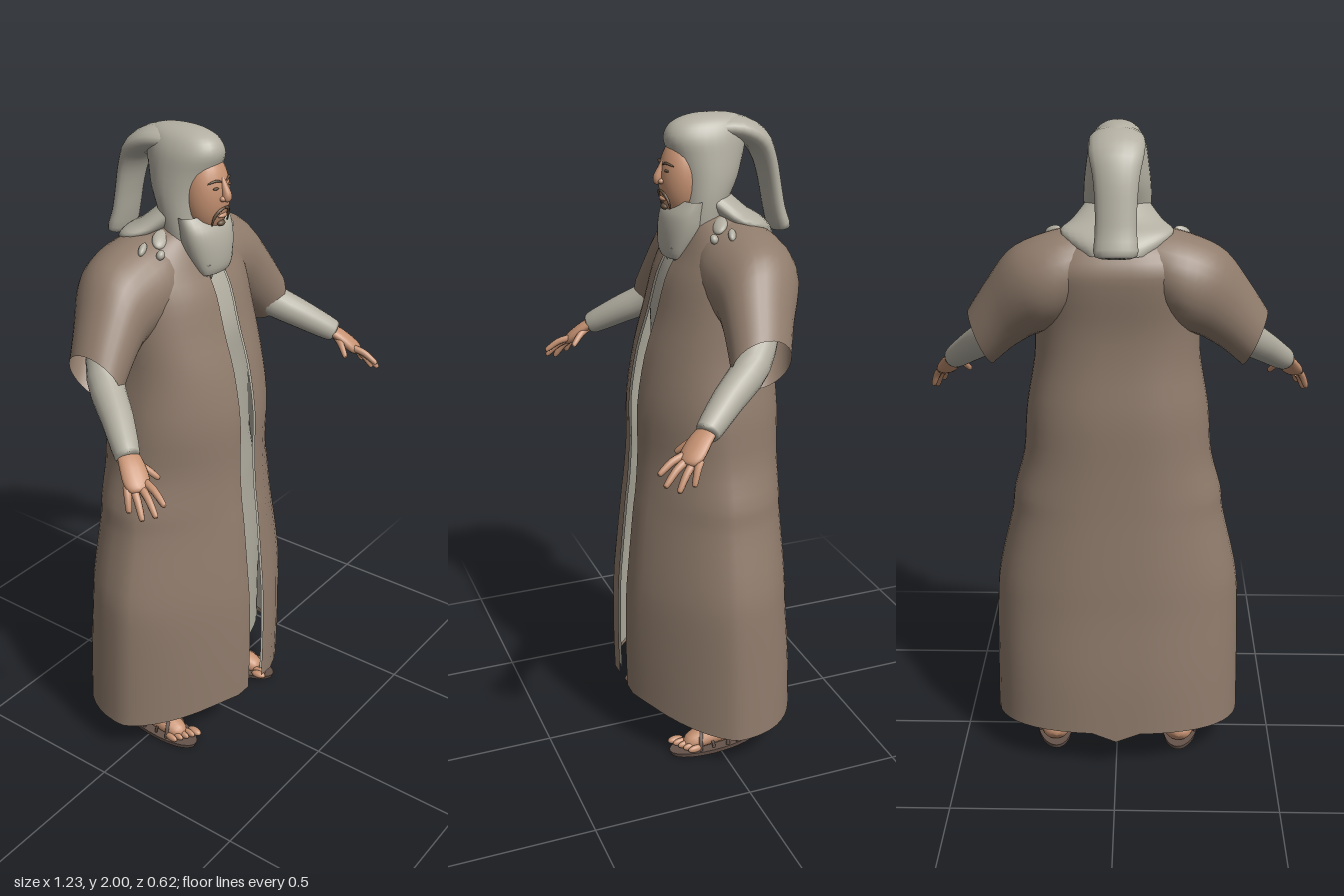
import * as THREE from 'three';

const paint = (name, color) => {
  const m = new THREE.MeshStandardMaterial({ color, side: THREE.DoubleSide });
  m.name = name;
  return m;
};
const V = (x, y, z) => new THREE.Vector3(x, y, z);

// Skin a list of rings (arrays of Vector3) into one smooth surface.
function loft(rings, closed = true) {
  const n = rings[0].length, pos = [], idx = [];
  rings.forEach(r => r.forEach(p => pos.push(p.x, p.y, p.z)));
  for (let i = 0; i < rings.length - 1; i++) {
    for (let j = 0; j < (closed ? n : n - 1); j++) {
      const a = i * n + j, b = i * n + (j + 1) % n;
      idx.push(a, b, b + n, a, b + n, a + n);
    }
  }
  const g = new THREE.BufferGeometry();
  g.setAttribute('position', new THREE.Float32BufferAttribute(pos, 3));
  g.setIndex(idx);
  g.computeVertexNormals();
  return g;
}

// Catmull-Rom interpolation of table rows.
function smooth(rows, steps) {
  const out = [], at = i => rows[Math.min(Math.max(i, 0), rows.length - 1)];
  for (let i = 0; i < rows.length - 1; i++) {
    for (let k = 0; k < steps; k++) {
      const t = k / steps;
      out.push(rows[i].map((_, c) => {
        const [a, b, d, e] = [at(i - 1)[c], at(i)[c], at(i + 1)[c], at(i + 2)[c]];
        return b + 0.5 * t * (d - a + t * (2 * a - 5 * b + 4 * d - e + t * (3 * (b - d) + e - a)));
      }));
    }
  }
  out.push(rows[rows.length - 1]);
  return out;
}

// Upright shell from rows [y, half width, front z, back z].
// gap leaves the front open; skirt adds the raised hem and the flat, bevelled front panels.
function shell(rows, { gap = 0, seg = 48, skirt = 0, back = 0.8 } = {}) {
  const rings = smooth(rows, 3).map(([y, w, zf, zb]) => {
    const t0 = gap ? Math.asin(Math.min(gap / w, 0.9)) : 0, zc = (zf + zb) / 2, ring = [];
    const low = skirt * Math.max(0, (0.5 - y) / 0.4);
    const bevel = skirt * THREE.MathUtils.smoothstep(1.45 - y, 0, 0.7);
    for (let j = 0; j < (gap ? seg + 1 : seg); j++) {
      const t = t0 + (2 * Math.PI - 2 * t0) * j / seg, s = Math.sin(t), c = Math.cos(t);
      const e = c > 0 ? 0.92 + 0.43 * bevel : back;
      const reach = c > 0 ? Math.min(1, (1 + 0.1 * bevel) * c ** e) : -(Math.abs(c) ** e);
      const lift = c > 0 ? 0.055 * Math.min(1, 2 * (1 - Math.abs(s))) : -0.015 * c;
      const spike = j === seg / 2 ? 0.03 : 0;
      const sx = j === 0 && gap ? gap : j === seg && gap ? -gap : w * Math.sign(s) * Math.abs(s) ** e;
      ring.push(V(sx, y + low * (lift - spike), zc + (zf - zc) * reach));
    }
    return ring;
  });
  return loft(rings, !gap);
}

// Rounded limb through points [x, y, z, radius], optionally flattened.
function limb(points, { seg = 14, wide = 1, thick = 1, ref = V(0, 1, 0) } = {}) {
  const pts = smooth(points, 3);
  const rings = pts.map((p, i) => {
    const a = pts[Math.max(i - 1, 0)], b = pts[Math.min(i + 1, pts.length - 1)];
    const d = V(b[0] - a[0], b[1] - a[1], b[2] - a[2]).normalize();
    const s = ref.clone().cross(d).normalize(), v = d.clone().cross(s), r = Math.max(p[3], 0.0005);
    return Array.from({ length: seg }, (_, j) => {
      const t = j / seg * Math.PI * 2;
      return V(p[0], p[1], p[2]).addScaledVector(s, r * wide * Math.cos(t)).addScaledVector(v, r * thick * Math.sin(t));
    });
  });
  return loft(rings);
}

export function createModel() {
  const brown = paint('robe brown', 0x907c6c), grey = paint('linen grey', 0xb2aea1);
  const skin = paint('skin', 0xc69272), dark = paint('dark hair', 0x66523f), leather = paint('sandal leather', 0x65534a);
  const model = new THREE.Group();
  model.name = 'robedMan';
  const add = (parent, name, geo, mat, x = 0, y = 0, z = 0) => {
    const m = new THREE.Mesh(geo, mat);
    m.name = name;
    m.position.set(x, y, z);
    parent.add(m);
    return m;
  };
  const ball = (parent, name, mat, x, y, z, sx, sy, sz) => {
    const m = add(parent, name, new THREE.SphereGeometry(1, 24, 16), mat, x, y, z);
    m.scale.set(sx, sy, sz);
    return m;
  };

  // Long open robe, its lining and the tunic underneath
  const robe = [
    [0.115, 0.392, 0.24, -0.28], [0.3, 0.39, 0.242, -0.275], [0.5, 0.386, 0.238, -0.26],
    [0.62, 0.374, 0.228, -0.255], [0.8, 0.332, 0.21, -0.245], [0.88, 0.322, 0.2, -0.242],
    [1.0, 0.29, 0.192, -0.24], [1.15, 0.278, 0.19, -0.24], [1.3, 0.252, 0.165, -0.228],
    [1.42, 0.246, 0.13, -0.23], [1.53, 0.244, 0.1, -0.248], [1.6, 0.238, 0.066, -0.25],
    [1.66, 0.19, 0.04, -0.215], [1.7, 0.13, 0.02, -0.17], [1.72, 0.08, 0, -0.13]];
  add(model, 'robe', shell(robe, { gap: 0.037, skirt: 1 }), brown);
  const inset = (d, lift, zMax) => robe.slice(0, 13).map(([y, w, f, b], i) =>
    [i ? y : y + lift, w - d, Math.min(f - d, zMax), b + d]);
  add(model, 'robeLining', shell(inset(0.008, 0.025, 1), { gap: 0.038, skirt: 1 }), grey);
  add(model, 'tunic', shell(inset(0.022, 0.065, 0.108)), grey);

  for (const side of [1, -1]) {
    const half = new THREE.Group();
    half.name = side > 0 ? 'leftLimbs' : 'rightLimbs';
    half.scale.x = side;
    model.add(half);

    // Shoulder and short wide sleeve: [top x, top y, bottom x, bottom y, z centre, half depth]
    const sleeve = smooth([
      [0.03, 1.715, 0.03, 1.52, -0.09, 0.1], [0.14, 1.702, 0.15, 1.43, -0.1, 0.14],
      [0.24, 1.675, 0.2, 1.4, -0.105, 0.138], [0.32, 1.63, 0.25, 1.38, -0.095, 0.122],
      [0.39, 1.535, 0.315, 1.335, -0.07, 0.102], [0.448, 1.445, 0.375, 1.28, -0.05, 0.09]], 3);
    add(half, 'sleeve', loft(sleeve.map(([tx, ty, bx, by, zc, hz]) => Array.from({ length: 28 }, (_, j) => {
      const t = j / 28 * Math.PI * 2, c = Math.cos(t) / 2;
      return V((tx + bx) / 2 + (tx - bx) * c, (ty + by) / 2 + (ty - by) * c, zc + hz * Math.sin(t));
    }))), brown);
    add(half, 'forearmSleeve', limb([[0.3, 1.46, -0.1, 0.055], [0.39, 1.36, -0.03, 0.053],
      [0.46, 1.295, 0.07, 0.046], [0.523, 1.238, 0.155, 0.036], [0.524, 1.237, 0.157, 0.025]], { seg: 20 }), grey);

    // Hand with spread fingers
    add(half, 'palm', limb([[0.515, 1.245, 0.145, 0.024], [0.535, 1.222, 0.18, 0.03],
      [0.556, 1.188, 0.215, 0.032], [0.566, 1.172, 0.235, 0.02], [0.568, 1.17, 0.238, 0]], { wide: 1.2, thick: 0.6 }), skin);
    [[0.54, 1.187, 0.23, 0.556, 1.15, 0.306], [0.557, 1.178, 0.23, 0.582, 1.125, 0.298],
      [0.571, 1.174, 0.216, 0.6, 1.112, 0.266], [0.58, 1.18, 0.2, 0.606, 1.125, 0.226],
      [0.525, 1.22, 0.17, 0.487, 1.178, 0.232]].forEach(([x, y, z, u, v, w], i) => {
      const mid = [(x + u) / 2, (y + v) / 2 + 0.008, (z + w) / 2, 0.011];
      add(half, i < 4 ? 'finger' : 'thumb', limb([[x, y, z, 0.012], mid, [u, v, w, 0.008],
        [u + (u - x) * 0.06, v + (v - y) * 0.06, w + (w - z) * 0.06, 0]], { seg: 8 }), skin);
    });

    // Leg, foot and strapped sandal
    add(half, 'leg', limb([[0.2, 0.05, -0.1, 0.036], [0.2, 0.11, -0.1, 0.037], [0.195, 0.3, -0.1, 0.055],
      [0.18, 0.55, -0.08, 0.07]], { ref: V(0, 0, 1) }), skin);
    const foot = new THREE.Group();
    foot.name = 'foot';
    foot.position.set(0.212, 0, 0);
    foot.rotation.y = 0.1;
    half.add(foot);
    add(foot, 'footBody', limb([[0, 0.04, -0.148, 0], [0, 0.045, -0.138, 0.028], [0, 0.055, -0.095, 0.043],
      [0, 0.053, -0.03, 0.043], [0, 0.04, 0.04, 0.034], [0, 0.028, 0.095, 0.024], [0, 0.025, 0.115, 0]], { wide: 1.2 }), skin);
    for (let i = 0; i < 5; i++)
      ball(foot, 'toe', skin, -0.038 + i * 0.019, 0.024, 0.126 - i * 0.009, i ? 0.01 : 0.014, 0.012, 0.026);
    add(foot, 'sole', new THREE.CylinderGeometry(1, 0.97, 0.014, 32), leather, 0, 0.007, 0).scale.set(0.06, 1, 0.163);
    [[0.05, 0.5, 0.05, 0.057], [0.05, -0.5, 0.05, 0.057], [-0.04, 0.35, 0.054, 0.088],
      [-0.04, -0.35, 0.054, 0.088]].forEach(([z, turn, w, h]) => {
      const strap = add(foot, 'strap', new THREE.TorusGeometry(1, 0.08, 6, 20, Math.PI), leather, 0, 0.01, z);
      strap.scale.set(w, h, 0.085);
      strap.rotation.y = turn;
    });

    // Cloth showing through on the shoulder
    [[0.12, 1.694, -0.04, 0.04, 0.024], [0.19, 1.682, -0.05, 0.026, 0.011], [0.165, 1.668, -0.005, 0.016, 0.012]].forEach(
      ([x, y, z, sx, sz]) => { ball(half, 'shoulderPatch', grey, x, y, z, sx, 0.014, sz).rotation.set(0.45, -0.5, -0.15); });
  }

  // Head cloth with neck drape and hanging tail
  const head = new THREE.Group();
  head.name = 'head';
  model.add(head);
  add(head, 'hood', shell([[1.66, 0.09, 0.05, -0.09], [1.7, 0.096, 0.05, -0.09], [1.76, 0.1, 0.048, -0.11],
    [1.82, 0.098, 0.052, -0.138], [1.88, 0.091, 0.066, -0.155], [1.93, 0.083, 0.083, -0.165], [1.965, 0.068, 0.07, -0.165],
    [1.985, 0.05, 0.04, -0.15], [1.996, 0.028, 0, -0.11], [2.0, 0.001, -0.045, -0.05]], { seg: 32, back: 1 }), grey);
  add(head, 'neckDrape', shell([[1.64, 0.11, -0.07, -0.25], [1.67, 0.145, -0.07, -0.232], [1.7, 0.163, -0.06, -0.2],
    [1.725, 0.13, -0.03, -0.16], [1.77, 0.09, 0.02, -0.11]], { seg: 32, back: 1 }), grey);
  add(head, 'hoodTail', limb([[0, 1.955, -0.06, 0.03], [0, 1.952, -0.13, 0.038], [0, 1.92, -0.195, 0.037],
    [0, 1.86, -0.23, 0.031], [0, 1.78, -0.25, 0.028], [0, 1.71, -0.264, 0.028], [0, 1.65, -0.282, 0.028],
    [0, 1.647, -0.283, 0]], { seg: 20, wide: 2.1, ref: V(0, -0.5, 1) }), grey);

  // Face
  ball(head, 'face', skin, 0, 1.815, 0.03, 0.073, 0.122, 0.069);
  add(head, 'nose', limb([[0, 1.868, 0.085, 0.008], [0, 1.845, 0.095, 0.011], [0, 1.82, 0.105, 0.014],
    [0, 1.808, 0.101, 0.012], [0, 1.803, 0.098, 0]], { ref: V(0, 0, 1), seg: 12 }), skin);
  for (const s of [1, -1]) {
    ball(head, 'nostril', skin, s * 0.013, 1.812, 0.098, 0.009, 0.008, 0.01);
    ball(head, 'eye', dark, s * 0.03, 1.844, 0.088, 0.011, 0.004, 0.006);
    add(head, 'brow', limb([[s * 0.012, 1.86, 0.094, 0.002], [s * 0.03, 1.866, 0.089, 0.004],
      [s * 0.052, 1.859, 0.075, 0.002]], { seg: 8 }), dark);
    add(head, 'moustache', limb([[0, 1.783, 0.096, 0.004], [s * 0.02, 1.778, 0.093, 0.005],
      [s * 0.034, 1.758, 0.085, 0.004], [s * 0.037, 1.735, 0.08, 0.002]], { seg: 8, ref: V(0, 0, 1) }), dark);
  }
  ball(head, 'lips', skin, 0, 1.76, 0.087, 0.02, 0.008, 0.012);
  ball(head, 'chinTuft', dark, 0, 1.736, 0.085, 0.015, 0.009, 0.01);

  // Beard running down from the hood, with ragged tips
  add(head, 'beard', shell([[1.59, 0.06, 0.088, 0.04], [1.61, 0.071, 0.096, 0.02], [1.65, 0.086, 0.098, -0.01],
    [1.69, 0.095, 0.094, -0.02], [1.725, 0.098, 0.082, -0.02], [1.76, 0.098, 0.053, -0.02]], { seg: 32 }), grey);
  for (let i = -2; i <= 2; i++) {
    const tip = add(head, 'beardTip', new THREE.ConeGeometry(0.022, 0.05, 10), grey, i * 0.023, 1.6 + (i % 2) * 0.006, 0.068);
    tip.rotation.x = Math.PI;
  }
  return model;
}
